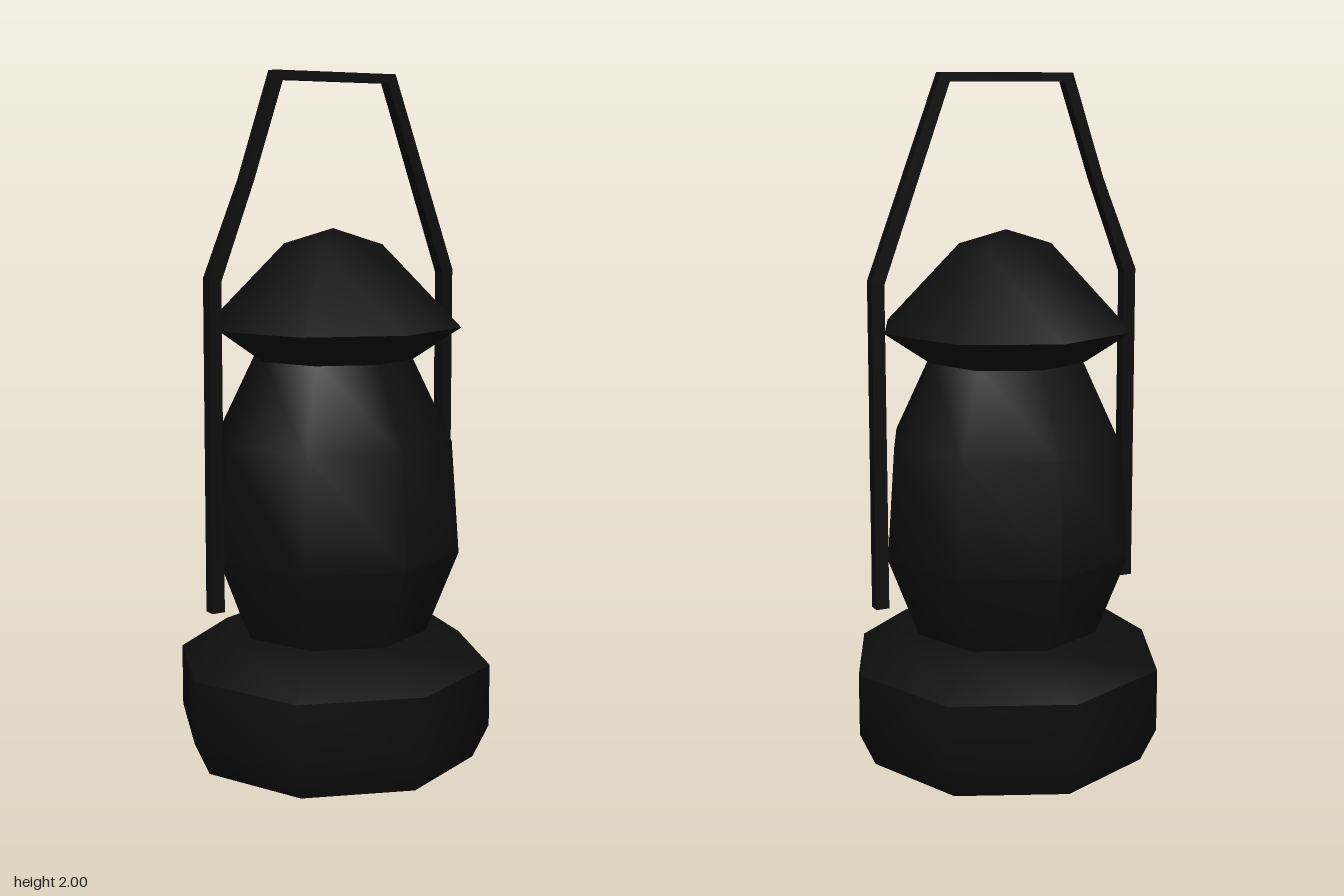
import * as THREE from 'three';
import { toCreasedNormals } from 'three/addons/utils/BufferGeometryUtils.js';

const SIDES = 8;

export function createModel() {
  const group = new THREE.Group();
  group.name = 'lantern';

  const blackMetal = new THREE.MeshStandardMaterial({ color: 0x0e0e0e });
  blackMetal.name = 'black metal';

  const add = (name, geometry) => {
    const mesh = new THREE.Mesh(geometry, blackMetal);
    mesh.name = name;
    group.add(mesh);
  };

  // Eight-sided turned part from [radius, height] pairs, bottom to top
  const turned = (name, profile) => {
    const points = profile.map(([r, y]) => new THREE.Vector2(r, y));
    add(name, toCreasedNormals(new THREE.LatheGeometry(points, SIDES), 0.87));
  };

  // Base with bevelled foot and shoulder
  turned('base', [[0, 0], [0.425, 0], [0.472, 0.1], [0.472, 0.285], [0.33, 0.38], [0, 0.38]]);

  // Bulging globe
  turned('globe', [[0.28, 0.375], [0.376, 0.62], [0.352, 0.95], [0.235, 1.19]]);

  // Flared cap with a low peak
  turned('cap', [[0, 1.185], [0.235, 1.185], [0.376, 1.28], [0.145, 1.515], [0, 1.56]]);

  // Carrying handle: flat bar outline, outer edge then inner edge
  const outline = [
    [-0.42, 0.48], [-0.38, 0.48], [-0.38, 1.42], [-0.272, 1.7], [-0.178, 1.974],
    [0.178, 1.974], [0.38, 1.42], [0.38, 0.48], [0.42, 0.48],
    [0.418, 1.43], [0.204, 2], [-0.204, 2], [-0.306, 1.7], [-0.418, 1.43],
  ].map(([x, y]) => new THREE.Vector2(x, y));
  const handle = new THREE.ExtrudeGeometry(new THREE.Shape(outline), { depth: 0.036, bevelEnabled: false });
  handle.translate(0, 0, -0.016);
  add('handle', handle);

  return group;
}
